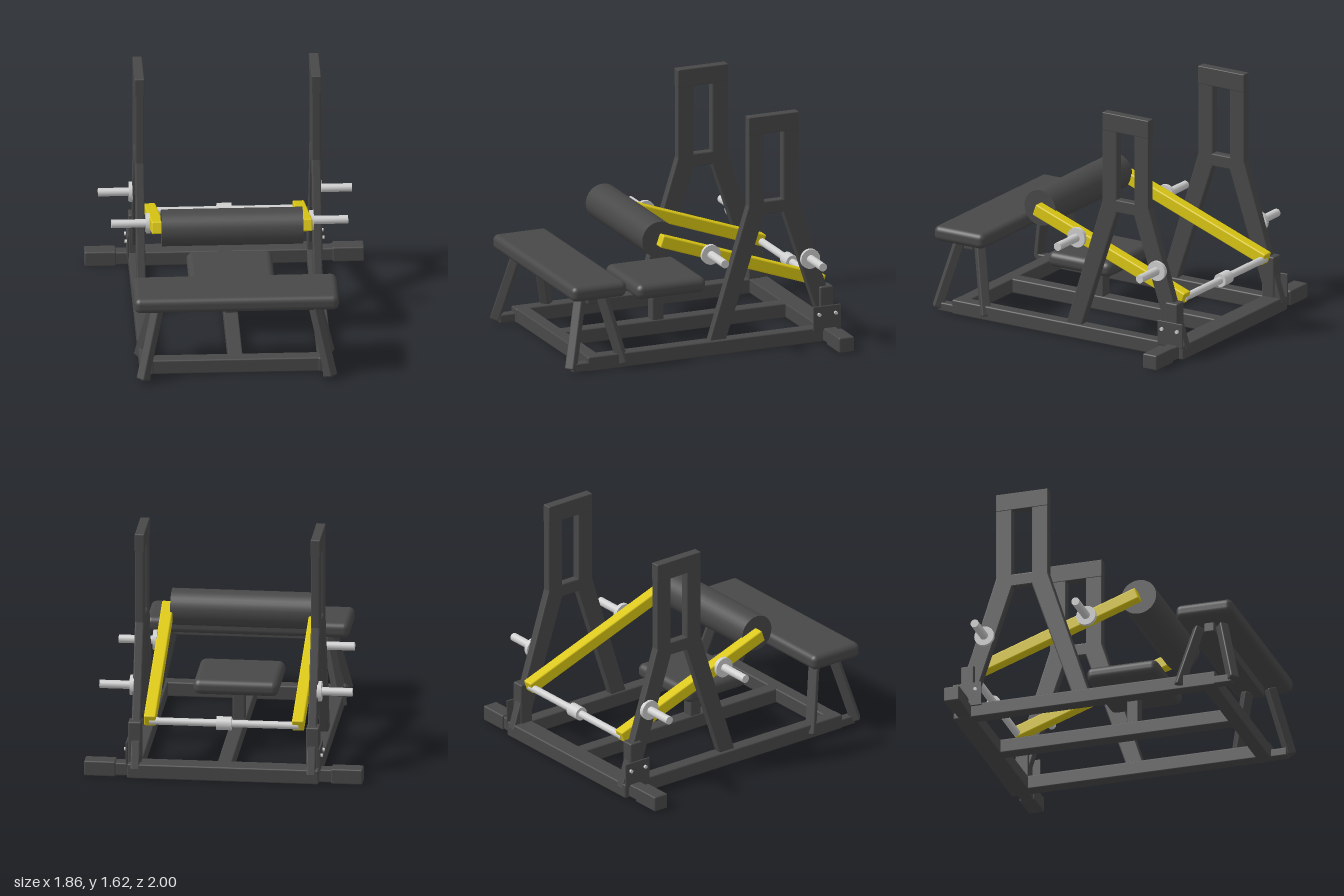
import * as THREE from 'three';
import { RoundedBoxGeometry } from 'three/addons/geometries/RoundedBoxGeometry.js';

const dark = new THREE.MeshStandardMaterial({ color: 0x484848 });
dark.name = 'charcoal';
const yellow = new THREE.MeshStandardMaterial({ color: 0xdcc814 });
yellow.name = 'yellow';
const steel = new THREE.MeshStandardMaterial({ color: 0xcecece });
steel.name = 'steel';

export function createModel() {
  const model = new THREE.Group();
  model.name = 'gymMachine';

  const add = (name, geometry, material, x = 0, y = 0, z = 0) => {
    const mesh = new THREE.Mesh(geometry, material);
    mesh.name = name;
    mesh.position.set(x, y, z);
    model.add(mesh);
    return mesh;
  };
  // Box given by its lower and upper corners, with rounded edges
  const box = (name, [x0, x1], [y0, y1], [z0, z1], radius = 0.01, material = dark, segments = 2) =>
    add(name, new RoundedBoxGeometry(x1 - x0, y1 - y0, z1 - z0, segments, radius), material,
      (x0 + x1) / 2, (y0 + y1) / 2, (z0 + z1) / 2);
  // The same range on the left or the right side
  const side = (s, a, b) => (s > 0 ? [a, b] : [-b, -a]);
  // Cylinder lying along x
  const rod = (name, radius, [x0, x1], y, z, material = steel) => {
    const geometry = new THREE.CylinderGeometry(radius, radius, x1 - x0, 32);
    geometry.rotateZ(Math.PI / 2);
    return add(name, geometry, material, (x0 + x1) / 2, y, z);
  };
  // Square tube between two points, turned about its own axis
  const strut = (name, from, to, width, depth, turn, material) => {
    const a = new THREE.Vector3(...from), b = new THREE.Vector3(...to);
    const dir = b.clone().sub(a);
    const geometry = new RoundedBoxGeometry(width, dir.length(), depth, 2, 0.01);
    geometry.rotateY(turn);
    const mesh = add(name, geometry, material);
    mesh.position.copy(a).add(b).multiplyScalar(0.5);
    mesh.quaternion.setFromUnitVectors(new THREE.Vector3(0, 1, 0), dir.normalize());
  };

  // Base
  box('rearBeam', [-0.64, 0.64], [0, 0.1], [-0.99, -0.85]);
  box('frontBeam', [-0.6, 0.6], [0, 0.1], [0.74, 0.835]);
  box('centreSpine', [-0.048, 0.048], [0, 0.1], [-0.87, 0.78]);

  // Side frame profile, drawn as (-z, y): two legs, a neck and a window
  const points = (list) => list.map(([u, v]) => new THREE.Vector2(u, v));
  const profile = new THREE.Shape(points([
    [0.05, 0.09], [0.17, 0.09], [0.45, 0.93], [0.585, 0.93], [0.875, 0.07],
    [0.998, 0.07], [0.7, 1.0], [0.7, 1.6], [0.335, 1.6], [0.335, 1.0],
  ]));
  profile.holes.push(new THREE.Path(points([[0.45, 1.02], [0.585, 1.02], [0.585, 1.49], [0.45, 1.49]])));
  const frameGeometry = new THREE.ExtrudeGeometry(profile, {
    depth: 0.044, bevelEnabled: true, bevelThickness: 0.008, bevelSize: 0.008, bevelOffset: -0.008, bevelSegments: 2,
  });
  frameGeometry.translate(0, 0, -0.022);
  frameGeometry.rotateY(Math.PI / 2);

  for (const s of [1, -1]) {
    box('sideRail', side(s, 0.548, 0.64), [0, 0.1], [-0.99, 0.84]);
    add('sideFrame', frameGeometry, dark, s * 0.588, 0, 0);
    box('frameCap', side(s, 0.556, 0.62), [1.49, 1.615], [-0.7, -0.335], 0.006);

    // Rear corner: post, bracket plate, bolts and outrigger foot
    box('rearPost', side(s, 0.55, 0.638), [0.09, 0.38], [-0.94, -0.845]);
    box('bracketPlate', side(s, 0.638, 0.65), [0.08, 0.25], [-0.99, -0.79], 0.004);
    for (const z of [-0.83, -0.95]) rod('bolt', 0.012, side(s, 0.648, 0.664), 0.195, z);
    box('outriggerTube', side(s, 0.62, 0.74), [0.005, 0.095], [-0.955, -0.865]);
    box('outriggerFoot', side(s, 0.72, 0.93), [0, 0.105], [-0.965, -0.855]);

    // Swinging arm
    strut('swingArm', [s * 0.495, 0.383, -0.92], [s * 0.495, 0.803, 0.258], 0.08, 0.084, 0, yellow);

    // Plate pegs: one on the arm, one on the frame
    rod('armPegFlange', 0.068, side(s, 0.53, 0.558), 0.675, -0.09);
    rod('armPeg', 0.028, side(s, 0.53, 0.788), 0.675, -0.09);
    rod('framePegFlange', 0.068, side(s, 0.612, 0.64), 0.585, -0.775);
    rod('framePeg', 0.028, side(s, 0.61, 0.845), 0.585, -0.775);

    // Splayed bench legs joined by a low bar
    strut('benchFrontLeg', [s * 0.525, 0.48, 0.85], [s * 0.627, 0.025, 0.96], 0.066, 0.066, Math.PI / 4, dark);
    strut('benchRearLeg', [s * 0.525, 0.48, 0.69], [s * 0.627, 0.025, 0.58], 0.066, 0.066, Math.PI / 4, dark);
    box('benchFootBar', side(s, 0.575, 0.64), [0.005, 0.065], [0.58, 0.95]);
  }

  // Arm axle with centre collar, and the padded roller
  rod('axle', 0.025, [-0.5, 0.5], 0.38, -0.9);
  rod('axleCollar', 0.046, [-0.05, 0.05], 0.38, -0.9);
  rod('rollerPad', 0.123, [-0.47, 0.47], 0.8, 0.25, dark);

  // Seat on its post
  box('seatPost', [-0.042, 0.042], [0.08, 0.35], [0.028, 0.112]);
  box('seatPad', [-0.285, 0.285], [0.325, 0.43], [-0.18, 0.32], 0.045, dark, 5);

  // Bench
  box('benchBeam', [-0.55, 0.55], [0.435, 0.51], [0.73, 0.805]);
  box('benchPad', [-0.68, 0.68], [0.5, 0.605], [0.57, 0.965], 0.04, dark, 5);

  return model;
}
